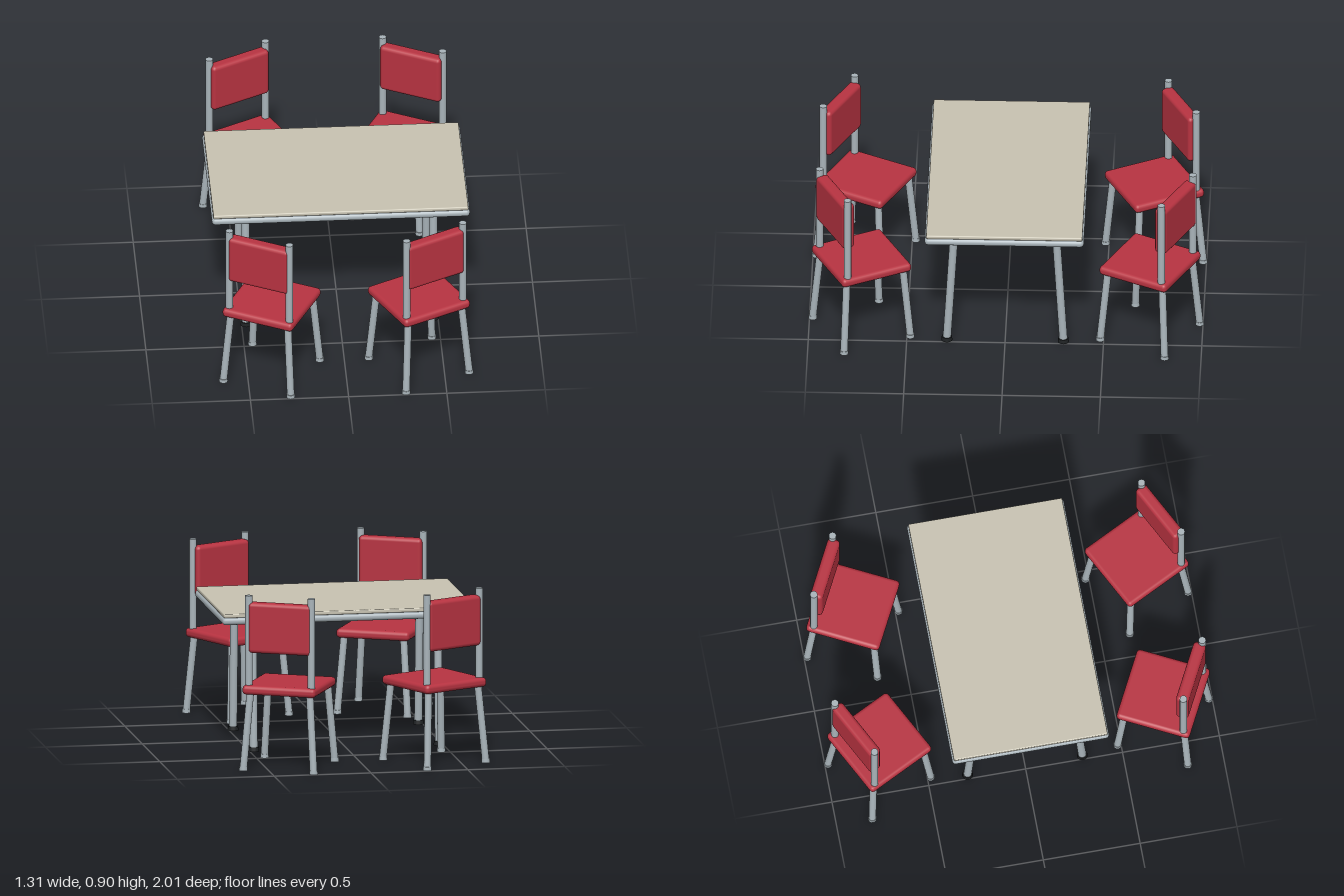
import * as THREE from 'three';
import { RoundedBoxGeometry } from 'three/addons/geometries/RoundedBoxGeometry.js';

const material = (name, color) => {
  const m = new THREE.MeshStandardMaterial({ color });
  m.name = name;
  return m;
};

export function createModel() {
  const red = material('red upholstery', 0xb83341);
  const metal = material('grey metal', 0xa9b4ba);
  const cream = material('cream laminate', 0xc8c3b2);
  const black = material('black rubber', 0x1f2224);

  const add = (parent, name, geometry, mat, x = 0, y = 0, z = 0) => {
    const mesh = new THREE.Mesh(geometry, mat);
    mesh.name = name;
    mesh.position.set(x, y, z);
    parent.add(mesh);
    return mesh;
  };

  // Straight round bar between two points
  const bar = (parent, name, a, b, radius, mat = metal) => {
    const from = new THREE.Vector3(...a), to = new THREE.Vector3(...b);
    const dir = to.clone().sub(from);
    const mesh = add(parent, name, new THREE.CylinderGeometry(radius, radius, dir.length(), 16), mat);
    mesh.position.copy(from).add(to).multiplyScalar(0.5);
    mesh.quaternion.setFromUnitVectors(new THREE.Vector3(0, 1, 0), dir.normalize());
    return mesh;
  };

  // Chair with its back towards +z
  const createChair = () => {
    const chair = new THREE.Group();
    chair.name = 'chair';
    add(chair, 'seat', new RoundedBoxGeometry(0.388, 0.048, 0.388, 2, 0.02), red, 0, 0.415, 0);
    add(chair, 'backrest', new RoundedBoxGeometry(0.335, 0.26, 0.066, 2, 0.02), red, 0, 0.735, 0.147);
    for (const sx of [-1, 1]) {
      bar(chair, 'backPost', [sx * 0.166, 0.42, 0.157], [sx * 0.166, 0.9, 0.157], 0.019);
      for (const sz of [-1, 1]) {
        bar(chair, 'chairLeg', [sx * 0.186, 0.01, sz * 0.186], [sx * 0.157, 0.41, sz * 0.157], 0.019);
        add(chair, 'chairFoot', new THREE.CylinderGeometry(0.021, 0.022, 0.02, 16), metal,
          sx * 0.186, 0.01, sz * 0.186);
      }
    }
    return chair;
  };

  // Table top: rounded metal rim slab with a laminate sheet over it
  const table = new THREE.Group();
  table.name = 'table';
  add(table, 'tableRim', new RoundedBoxGeometry(1.314, 0.039, 0.81, 2, 0.018), metal, 0, 0.692, 0);
  add(table, 'tableTop', new RoundedBoxGeometry(1.298, 0.02, 0.794, 2, 0.006), cream, 0, 0.719, 0);

  // Two leg frames, each a cross bar with splayed legs and rubber feet
  for (const sx of [-1, 1]) {
    const x = sx * 0.478, top = 0.669;
    bar(table, 'crossBar', [x, top, -0.257], [x, top, 0.257], 0.02);
    for (const sz of [-1, 1]) {
      bar(table, 'tableLeg', [x, 0.01, sz * 0.296], [x, top, sz * 0.257], 0.021);
      add(table, 'legElbow', new THREE.SphereGeometry(0.021, 16, 10), metal, x, top, sz * 0.257);
      add(table, 'tableFoot', new THREE.CylinderGeometry(0.026, 0.028, 0.022, 16), black,
        x, 0.011, sz * 0.296);
    }
  }

  // Four chairs turned towards the table
  const model = new THREE.Group();
  model.name = 'diningSet';
  model.add(table);
  for (const sx of [-1, 1]) {
    for (const sz of [-1, 1]) {
      const chair = createChair();
      chair.position.set(sx * 0.375, 0, sz * 0.733);
      chair.rotation.y = sx * THREE.MathUtils.degToRad(sz > 0 ? 27 : 153);
      model.add(chair);
    }
  }
  return model;
}
